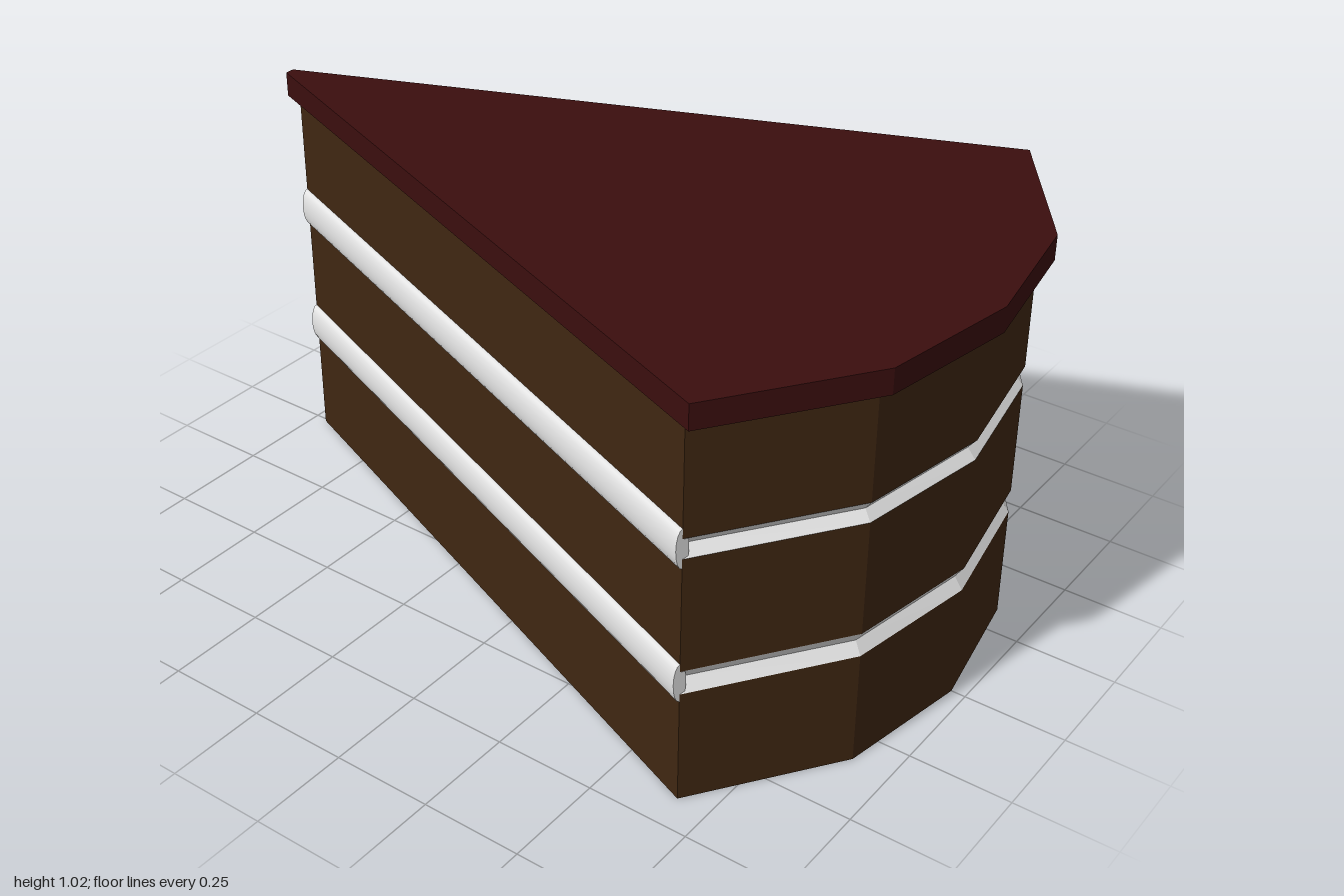
import * as THREE from 'three';

const sponge = new THREE.MeshStandardMaterial({ color: 0x402712 });
sponge.name = 'chocolate sponge';
const icing = new THREE.MeshStandardMaterial({ color: 0x3b0e0e });
icing.name = 'dark icing';
const cream = new THREE.MeshStandardMaterial({ color: 0xf0f0f0 });
cream.name = 'white cream';

// Wedge outlines as [x, z], running from the tip round the curved front
const mirrored = (half, front) => [...half, front, ...half.map(([x, z]) => [-x, z]).reverse()];
const bodyOutline = mirrored([[0.008, -0.963], [0.665, 0.67], [0.333, 0.905]], [0, 0.965]);
const icingOutline = mirrored([[0.012, -1], [0.69, 0.695], [0.345, 0.94]], [0, 1]);
const grooveOutline = mirrored([[0.008, -0.95], [0.65, 0.655], [0.325, 0.887]], [0, 0.945]);

// Flat-faced solid through stacked rows of { y, outline }
function loft(rows) {
  const pos = [];
  const at = (row, i) => {
    const [x, z] = row.outline[i % row.outline.length];
    return [x, row.y, z];
  };
  const count = rows[0].outline.length;
  for (let r = 0; r < rows.length - 1; r++) {
    for (let i = 0; i < count; i++) {
      const a = at(rows[r], i), b = at(rows[r], i + 1);
      const c = at(rows[r + 1], i + 1), d = at(rows[r + 1], i);
      pos.push(...a, ...c, ...b, ...a, ...d, ...c);
    }
  }
  const bottom = rows[0], top = rows[rows.length - 1];
  for (let i = 1; i < count - 1; i++) {
    pos.push(...at(bottom, 0), ...at(bottom, i), ...at(bottom, i + 1));
    pos.push(...at(top, 0), ...at(top, i + 1), ...at(top, i));
  }
  const geometry = new THREE.BufferGeometry();
  geometry.setAttribute('position', new THREE.Float32BufferAttribute(pos, 3));
  geometry.computeVertexNormals();
  return geometry;
}

export function createModel() {
  const group = new THREE.Group();
  const add = (name, geometry, material) => {
    const mesh = new THREE.Mesh(geometry, material);
    mesh.name = name;
    group.add(mesh);
    return mesh;
  };

  // Three sponge layers
  [[0, 0.285], [0.345, 0.63], [0.68, 0.955]].forEach(([y0, y1], i) => {
    add('spongeLayer' + (i + 1),
      loft([{ y: y0, outline: bodyOutline }, { y: y1, outline: bodyOutline }]), sponge);
  });

  // Icing slab overhanging the top
  add('icingTop', loft([{ y: 0.955, outline: icingOutline }, { y: 1.017, outline: icingOutline }]), icing);

  // Cream between the layers: creased inwards in front, bulging along the cut sides
  [[0.285, 0.345], [0.63, 0.68]].forEach(([y0, y1], i) => {
    const mid = (y0 + y1) / 2;
    add('creamFilling' + (i + 1), loft([
      { y: y0, outline: bodyOutline },
      { y: mid, outline: grooveOutline },
      { y: y1, outline: bodyOutline },
    ]), cream);

    for (const side of [-1, 1]) {
      const corner = new THREE.Vector3(side * 0.665, mid, 0.67);
      const tip = new THREE.Vector3(side * 0.008, mid, -0.963);
      const along = corner.clone().sub(tip);
      const length = along.length();
      along.normalize();
      const up = new THREE.Vector3(0, 1, 0);
      const out = along.clone().cross(up);
      const bulge = new THREE.CylinderGeometry(1, 1, length, 16);
      bulge.scale(side < 0 ? 0.016 : 0.01, 1, 0.049);
      bulge.applyMatrix4(new THREE.Matrix4().makeBasis(out, along, up));
      const centre = corner.add(tip).multiplyScalar(0.5);
      bulge.translate(centre.x, centre.y, centre.z);
      add((side < 0 ? 'rightCreamBulge' : 'leftCreamBulge') + (i + 1), bulge, cream);
    }
  });

  return group;
}
